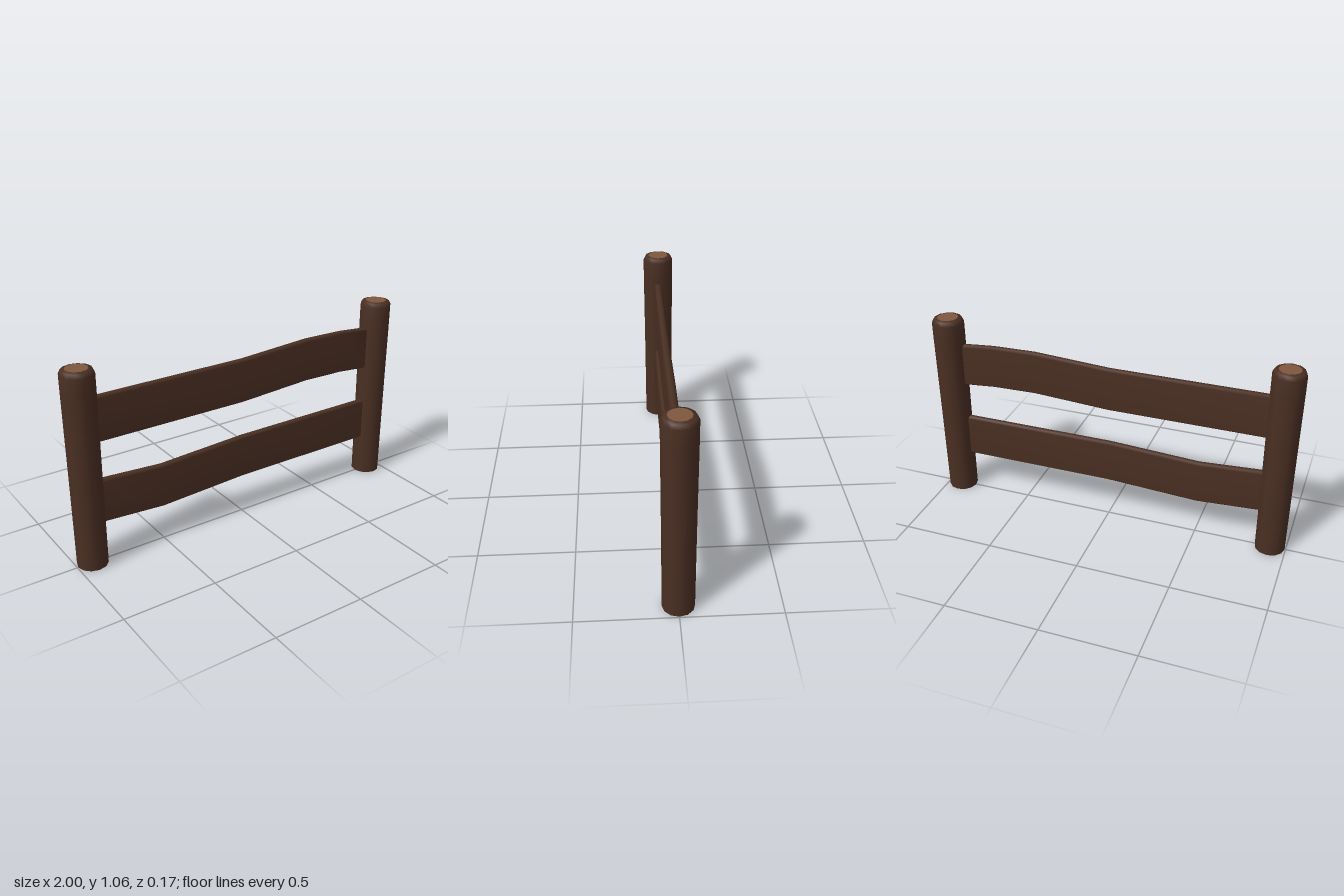
import * as THREE from 'three';

const bark = new THREE.MeshStandardMaterial({ color: 0x4a2f23, side: THREE.DoubleSide });
const cutWood = new THREE.MeshStandardMaterial({ color: 0x80583f });

// Slightly tapered round post with a bevelled top, open underneath
function createPost(x, name) {
  const post = new THREE.Group();
  post.name = name;
  const profile = [[0.08, 0], [0.082, 0.5], [0.085, 0.95], [0.085, 1.035], [0.076, 1.054], [0.056, 1.06]]
    .map(([r, y]) => new THREE.Vector2(r, y));
  const trunk = new THREE.Mesh(new THREE.LatheGeometry(profile, 12), bark);
  trunk.name = name + 'Trunk';
  // Pale sawn face on top
  const cap = new THREE.Mesh(new THREE.CircleGeometry(0.056, 12).rotateX(-Math.PI / 2), cutWood);
  cap.name = name + 'CutTop';
  cap.position.y = 1.06;
  post.add(trunk, cap);
  post.position.x = x;
  return post;
}

// Plank with rounded edges: one section repeated along a bent centre line
function createRail(path, name) {
  const section = [[0.108, 0.0215], [0.118, 0.012], [0.121, 0], [0.118, -0.012], [0.108, -0.0215],
    [-0.108, -0.0215], [-0.118, -0.012], [-0.121, 0], [-0.118, 0.012], [-0.108, 0.0215]];
  const n = section.length;
  const positions = [], index = [];
  path.forEach(([x, y], i) => {
    for (const [h, d] of section) positions.push(x, y + h, 0.005 + d);
    if (i === 0) return;
    for (let j = 0; j < n; j++) {
      const a = (i - 1) * n + j, b = (i - 1) * n + (j + 1) % n;
      index.push(a, a + n, b, b, a + n, b + n);
    }
  });
  // End faces, hidden inside the posts
  const last = (path.length - 1) * n;
  for (let j = 1; j < n - 1; j++) {
    index.push(0, j, j + 1, last, last + j + 1, last + j);
  }
  const geometry = new THREE.BufferGeometry();
  geometry.setAttribute('position', new THREE.Float32BufferAttribute(positions, 3));
  geometry.setIndex(index);
  // Reverse the winding so that the faces point outwards
  for (let k = 0; k < index.length; k += 3) {
    geometry.index.setX(k + 1, index[k + 2]);
    geometry.index.setX(k + 2, index[k + 1]);
  }
  geometry.computeVertexNormals();
  const rail = new THREE.Mesh(geometry, bark);
  rail.name = name;
  return rail;
}

export function createModel() {
  const fence = new THREE.Group();
  fence.name = 'fence';
  fence.add(
    createPost(0.915, 'leftPost'),
    createPost(-0.915, 'rightPost'),
    createRail([[-0.86, 0.786], [0, 0.786], [0.42, 0.81], [0.66, 0.805], [0.86, 0.788]], 'upperRail'),
    createRail([[-0.86, 0.345], [-0.5, 0.322], [0, 0.347], [0.86, 0.347]], 'lowerRail'),
  );
  return fence;
}
